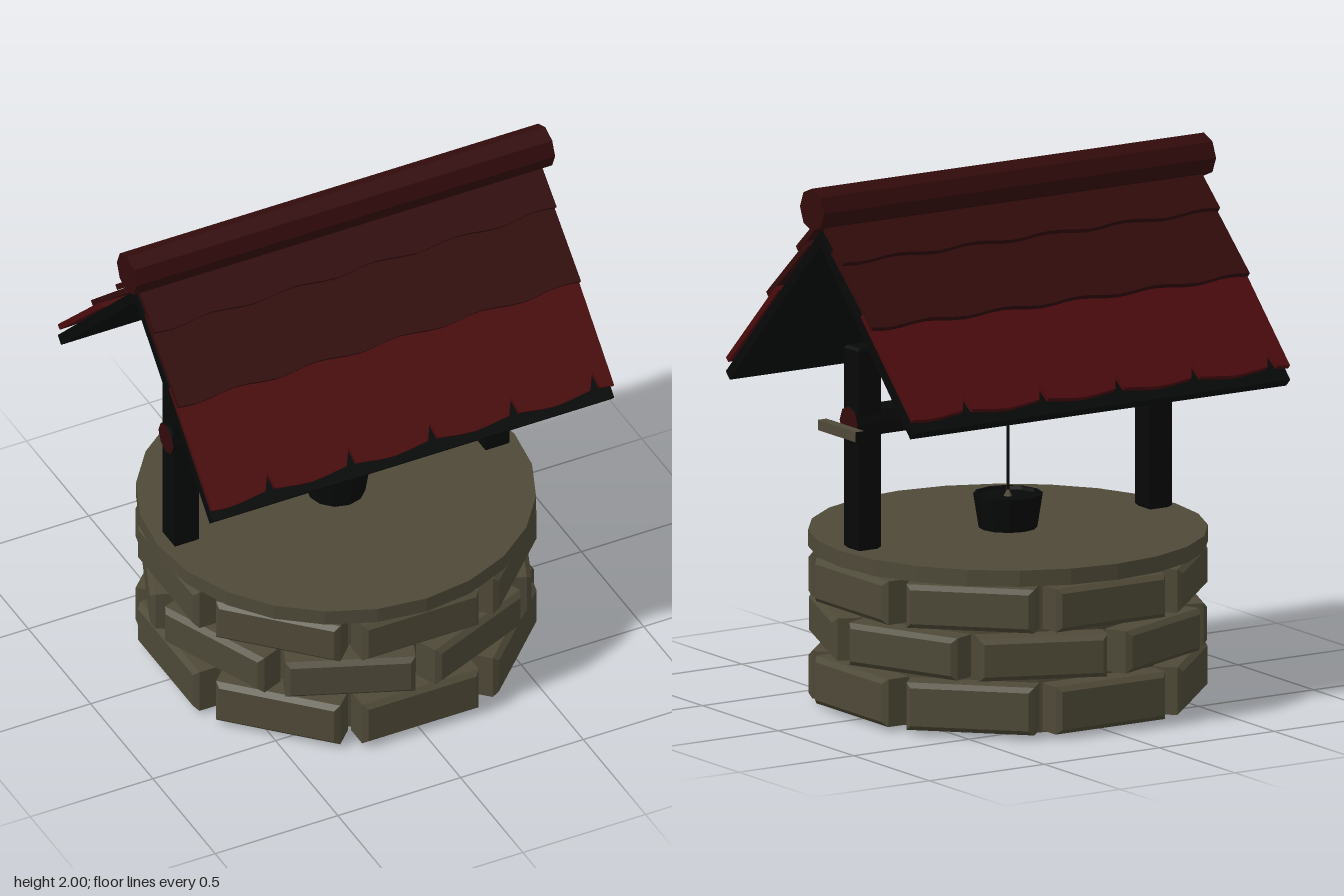
import * as THREE from 'three';

const mat = (name, color, side = THREE.FrontSide) => {
  const m = new THREE.MeshStandardMaterial({ color, side, flatShading: true });
  m.name = name;
  return m;
};

export function createModel() {
  const stone = mat('stone', 0x4e4937, THREE.DoubleSide);
  const darkWood = mat('dark wood', 0x070808, THREE.DoubleSide);
  const red = mat('red tile', 0x4b0b0d);
  const darkRed = mat('dark red tile', 0x330b0c);

  const well = new THREE.Group();
  well.name = 'well';
  const add = (parent, name, geometry, material, x = 0, y = 0, z = 0) => {
    const mesh = new THREE.Mesh(geometry, material);
    mesh.name = name;
    mesh.position.set(x, y, z);
    parent.add(mesh);
    return mesh;
  };
  const lathe = (profile, sides) =>
    new THREE.LatheGeometry(profile.map(p => new THREE.Vector2(...p)), sides);
  const barAlongX = (r, length, sides) =>
    new THREE.CylinderGeometry(r, r, length, sides).rotateZ(Math.PI / 2);

  // Wall tapering inward underneath, dark shaft floor and solid cap
  add(well, 'wall', lathe([[0.46, 0.19], [0.59, 0], [0.59, 0.58]], 32), stone);
  add(well, 'shaftFloor', new THREE.CircleGeometry(0.46, 32).rotateX(Math.PI / 2), darkWood, 0, 0.19, 0);
  add(well, 'cap', new THREE.CylinderGeometry(0.728, 0.728, 0.06, 24), stone, 0, 0.605, 0);

  // Three staggered courses of eight chamfered bricks
  const brick = (w, h, depth, b) => {
    const x = w / 2 - b, y = h / 2 - b;
    const shape = new THREE.Shape([[-x, -y], [x, -y], [x, y], [-x, y]].map(p => new THREE.Vector2(...p)));
    return new THREE.ExtrudeGeometry(shape, {
      depth: depth - 2 * b, bevelEnabled: true, bevelSegments: 1, bevelSize: b, bevelThickness: b,
    }).translate(0, 0, b);
  };
  [[0.018, 0.195], [0.218, 0.375], [0.398, 0.56]].forEach(([y0, y1], row) => {
    const geometry = brick(0.475, y1 - y0, 0.125, 0.018);
    for (let i = 0; i < 8; i++) {
      const a = (i + (row % 2) / 2) * Math.PI / 4;
      const m = add(well, 'brick', geometry, stone, Math.sin(a) * 0.57, (y0 + y1) / 2, Math.cos(a) * 0.57);
      m.rotation.y = a;
    }
  });

  // Posts, red-ended axle, drum and crank
  const post = brick(0.098, 0.098, 0.755, 0.01).rotateX(-Math.PI / 2);
  for (const side of [-1, 1]) add(well, 'post', post, darkWood, side * 0.633, 0.635, 0);
  add(well, 'axle', barAlongX(0.06, 1.386, 8), [darkWood, darkRed, darkRed], 0, 1.11, 0);
  add(well, 'drum', barAlongX(0.088, 0.315, 6), stone, 0, 1.105, 0);
  add(well, 'crank', new THREE.BoxGeometry(0.038, 0.038, 0.25),
    [stone, stone, stone, stone, darkWood, darkWood], 0.79, 1.11, -0.097);

  // Rope and bucket
  add(well, 'rope', new THREE.CylinderGeometry(0.005, 0.005, 0.3, 6), darkWood, 0, 0.9, 0);
  const pail = [[0, 0.637], [0.107, 0.637], [0.127, 0.764], [0.115, 0.764], [0.112, 0.752], [0, 0.752]];
  add(well, 'bucket', lathe(pail, 12), darkWood);
  add(well, 'ropeKnot', new THREE.ConeGeometry(0.016, 0.035, 6), stone, 0, 0.769, 0);

  // One tile with a wavy lower edge and, if wanted, a notch in that edge
  const seams = [-0.82, -0.745, -0.41, -0.08, 0.25, 0.58, 0.82];
  const tile = (x0, x1, length, notched) => {
    const edge = x => -length - 0.008 * Math.cos((x + 0.745) / 0.331 * Math.PI * 2);
    const s = new THREE.Shape();
    s.moveTo(x1, 0);
    s.lineTo(x0, 0);
    const points = [];
    for (let i = 0; i <= 6; i++) {
      const x = x0 + (x1 - x0) * i / 6;
      points.push([x, edge(x)]);
    }
    if (notched) {
      for (let k = 0; k < 5; k++) {
        const n = -0.575 + k * 0.331;
        if (n < x0 || n > x1) continue;
        for (let i = points.length - 1; i >= 0; i--)
          if (Math.abs(points[i][0] - n) < 0.03) points.splice(i, 1);
        points.push([n - 0.024, edge(n)], [n + 0.006, edge(n) + 0.065], [n + 0.018, edge(n)]);
      }
      points.sort((a, b) => a[0] - b[0]);
    }
    points.forEach(p => s.lineTo(...p));
    s.closePath();
    return new THREE.ExtrudeGeometry(s, { depth: 0.021, bevelEnabled: false });
  };

  // Rows: distance down the slope at top and bottom, lift at top and bottom
  const rows = [
    { top: 0.38, end: 0.851, lift0: 0.006, lift1: 0.013, material: red, notched: true },
    { top: 0.1, end: 0.457, lift0: 0.006, lift1: 0.029, material: darkRed },
    { top: 0.01, end: 0.172, lift0: 0.022, lift1: 0.034, material: darkRed },
  ];
  for (const turn of [0, Math.PI]) {
    const half = new THREE.Group();
    half.name = 'roofHalf';
    half.rotation.y = turn;
    well.add(half);
    const slope = new THREE.Group();
    slope.name = 'roofSlope';
    slope.position.y = 1.835;
    slope.rotation.x = -0.776;
    half.add(slope);
    add(slope, 'roofBoard', new THREE.BoxGeometry(1.635, 0.89, 0.038), darkWood, 0, -0.445, -0.019);
    for (const r of rows) {
      const length = r.end - r.top;
      for (let i = 0; i < seams.length - 1; i++) {
        const g = tile(seams[i] + 0.0005, seams[i + 1] - 0.0005, length, r.notched);
        const m = add(slope, 'roofTile', g, r.material, 0, -r.top, r.lift0);
        m.rotation.x = -(r.lift1 - r.lift0) / length;
      }
    }
  }
  add(well, 'ridge', barAlongX(0.08, 1.705, 8), darkRed, 0, 1.92, 0);

  return well;
}
